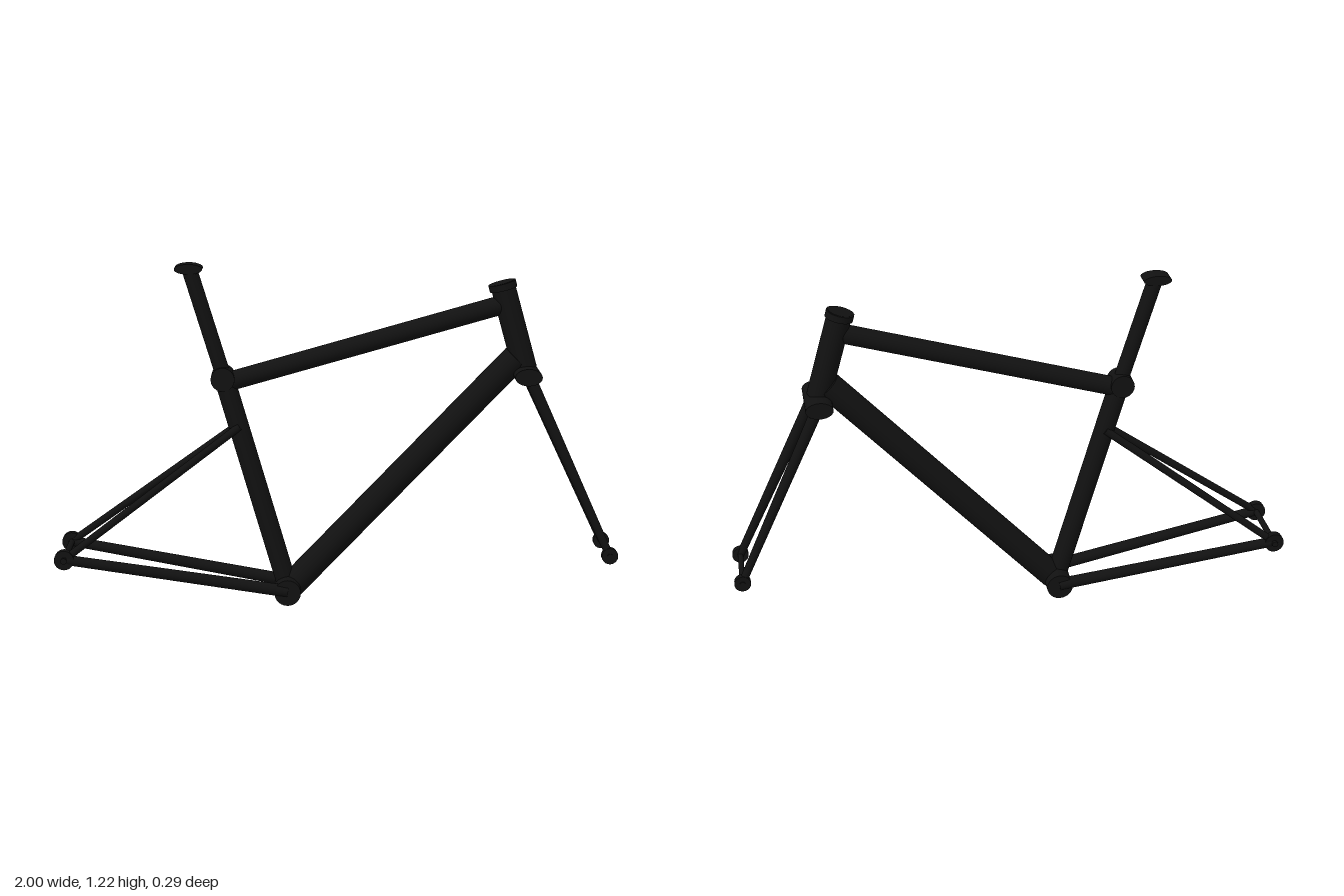
import * as THREE from 'three';

export function createModel() {
  const group = new THREE.Group();
  const black = new THREE.MeshStandardMaterial({ color: 0x111111 });
  black.name = 'satin black';

  // Round tube between two points, with a radius at each end
  function tube(name, from, to, r0, r1 = r0) {
    const a = new THREE.Vector3(...from);
    const b = new THREE.Vector3(...to);
    const dir = b.clone().sub(a);
    const mesh = new THREE.Mesh(new THREE.CylinderGeometry(r1, r0, dir.length(), 24), black);
    mesh.position.copy(a).add(b).multiplyScalar(0.5);
    mesh.quaternion.setFromUnitVectors(new THREE.Vector3(0, 1, 0), dir.normalize());
    mesh.name = name;
    group.add(mesh);
  }

  // Crosswise barrel along z, with an oval section if rx and ry differ
  function barrel(name, [x, y, z], rx, ry, length) {
    const geometry = new THREE.CylinderGeometry(1, 1, length, 24);
    geometry.rotateX(Math.PI / 2).scale(rx, ry, 1);
    const mesh = new THREE.Mesh(geometry, black);
    mesh.position.set(x, y, z);
    mesh.name = name;
    group.add(mesh);
  }

  const bottom = [-0.178, 0.047, 0];
  const seatJoint = [-0.398, 0.815, 0];
  const rearAxle = [-0.965, 0.187];
  const frontAxle = [0.967, 0.187];

  // Main triangle
  tube('seatTube', bottom, seatJoint, 0.036);
  tube('topTube', [-0.395, 0.798, 0], [0.59, 1.076, 0], 0.034);
  tube('downTube', [-0.165, 0.052, 0], [0.63, 0.885, 0], 0.048);
  tube('headTube', [0.662, 0.846, 0], [0.576, 1.152, 0], 0.043);
  tube('headsetCap', [0.582, 1.128, 0], [0.576, 1.151, 0], 0.049);
  barrel('bottomBracket', bottom, 0.047, 0.047, 0.166);

  // Seat post and saddle clamp
  tube('seatPost', seatJoint, [-0.514, 1.2, 0], 0.027);
  barrel('seatCollar', [-0.402, 0.815, 0], 0.042, 0.042, 0.08);
  barrel('saddleClamp', [-0.517, 1.203, 0], 0.049, 0.018, 0.06);

  // Fork crown and axles
  barrel('forkCrown', [0.667, 0.83, 0], 0.048, 0.03, 0.195);
  barrel('rearAxle', [...rearAxle, 0], 0.011, 0.011, 0.29);
  barrel('frontAxle', [...frontAxle, 0], 0.01, 0.01, 0.236);

  // Mirrored stays, fork legs and dropouts
  for (const [side, s] of [['left', -1], ['right', 1]]) {
    tube(side + 'ChainStay', [-0.178, 0.05, s * 0.068], [...rearAxle, s * 0.12], 0.022, 0.018);
    tube(side + 'SeatStay', [-0.345, 0.645, s * 0.028], [...rearAxle, s * 0.12], 0.014, 0.013);
    tube(side + 'ForkLeg', [0.675, 0.82, s * 0.068], [...frontAxle, s * 0.1], 0.021, 0.014);
    barrel(side + 'RearDropout', [...rearAxle, s * 0.121], 0.035, 0.035, 0.026);
    barrel(side + 'FrontDropout', [...frontAxle, s * 0.103], 0.029, 0.029, 0.022);
  }
  return group;
}
